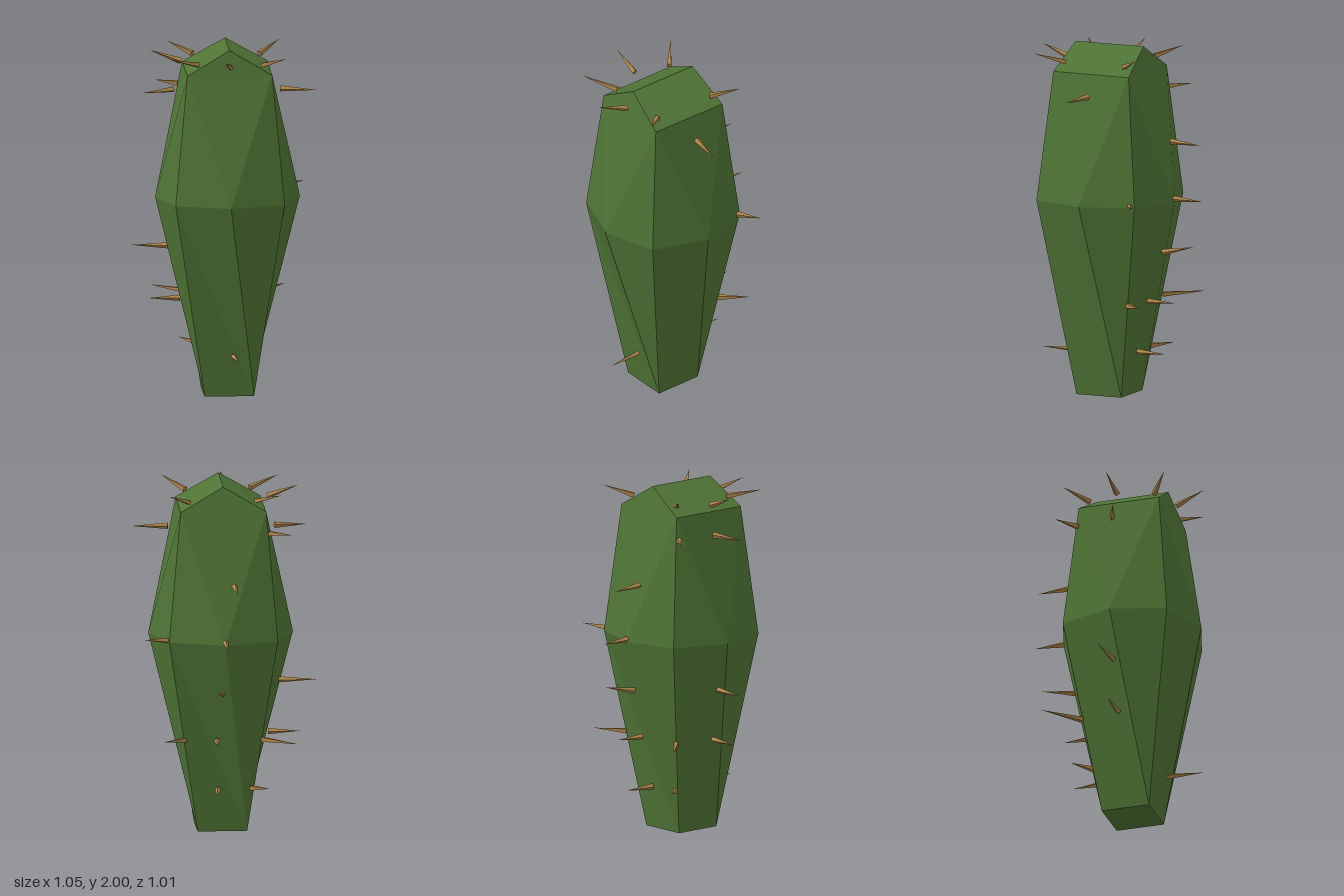
import * as THREE from 'three';

const green = new THREE.MeshStandardMaterial({ color: 0x4f7435, flatShading: true });
green.name = 'cactus green';
const tan = new THREE.MeshStandardMaterial({ color: 0xad8549, flatShading: true });
tan.name = 'thorn tan';

// Faceted body: square foot, eight-sided waist, four shoulders and a ridge
function makeBody() {
  const at = (y, ring) => ring.map(([x, z]) => [x, y, z]);
  const base = at(0, [[0.16, 0.21], [0.16, -0.07], [-0.12, -0.07], [-0.12, 0.21]]);
  const mid = at(1.125, [[0.01, 0.48], [0.32, 0.385], [0.43, 0.07], [0.335, -0.235],
    [0.025, -0.34], [-0.28, -0.25], [-0.39, 0.06], [-0.297, 0.372]]);
  const top = at(1.86, [[0.255, 0.31], [0.265, -0.165], [-0.22, -0.175], [-0.225, 0.302]]);
  const [ridgeFront, ridgeBack] = at(2, [[0.015, 0.283], [0.022, -0.143]]);
  const tris = [];
  const tri = (...corners) => tris.push(...corners.flat());

  for (let k = 0; k < 4; k++) {
    const n = (k + 1) % 4;
    const before = mid[2 * k], corner = mid[2 * k + 1], after = mid[(2 * k + 2) % 8];
    // lower taper
    tri(base[k], corner, before);
    tri(base[k], base[n], corner);
    tri(corner, base[n], after);
    // upper taper
    tri(before, corner, top[k]);
    tri(corner, after, top[k]);
    tri(after, top[n], top[k]);
  }
  // gabled crown
  tri(top[3], top[0], ridgeFront);
  tri(top[1], top[2], ridgeBack);
  tri(top[0], top[1], ridgeBack);
  tri(top[0], ridgeBack, ridgeFront);
  tri(top[2], top[3], ridgeFront);
  tri(top[2], ridgeFront, ridgeBack);
  // underside
  tri(base[0], base[2], base[1]);
  tri(base[0], base[3], base[2]);

  const geo = new THREE.BufferGeometry();
  geo.setAttribute('position', new THREE.Float32BufferAttribute(tris, 3));
  geo.computeVertexNormals();
  const mesh = new THREE.Mesh(geo, green);
  mesh.name = 'body';
  return mesh;
}

// Thin thorn running from its root to its tip
function makeThorn(root, tip) {
  const a = new THREE.Vector3(...root), b = new THREE.Vector3(...tip);
  const dir = b.clone().sub(a);
  const length = dir.length();
  const geo = new THREE.ConeGeometry(0.018, length, 4);
  geo.translate(0, length / 2, 0);
  const mesh = new THREE.Mesh(geo, tan);
  mesh.position.copy(a);
  mesh.quaternion.setFromUnitVectors(new THREE.Vector3(0, 1, 0), dir.normalize());
  mesh.name = 'thorn';
  return mesh;
}

export function createModel() {
  const model = new THREE.Group();
  model.name = 'cactus';
  model.add(makeBody());

  const thorns = new THREE.Group();
  thorns.name = 'thorns';
  // crown thorns
  const crown = [
    [[0.02, 1.91, 0.33], [-0.022, 1.965, 0.505]],
    [[0.205, 1.91, 0.26], [0.328, 1.968, 0.4]],
    [[0.215, 1.91, -0.115], [0.337, 1.97, -0.24]],
    [[-0.165, 1.915, -0.125], [-0.3, 1.967, -0.245]],
    [[-0.245, 1.905, 0.06], [-0.42, 1.968, 0.05]],
    [[-0.16, 1.915, 0.255], [-0.33, 1.965, 0.367]],
  ];
  // side thorns
  const sides = [
    [[0.32, 1.74, 0.065], [0.525, 1.735, 0.102]],
    [[-0.285, 1.74, 0.045], [-0.47, 1.73, 0.107]],
    [[-0.24, 1.735, -0.175], [-0.365, 1.74, -0.27]],
    [[0.345, 1.135, -0.21], [0.478, 1.15, -0.273]],
    [[-0.31, 0.845, 0.06], [-0.525, 0.847, 0.035]],
    [[-0.25, 0.545, 0.07], [-0.43, 0.545, 0.065]],
    [[0.24, 0.545, -0.15], [0.37, 0.56, -0.28]],
    [[-0.2, 0.545, -0.16], [-0.388, 0.55, -0.345]],
    [[-0.14, 0.255, -0.11], [-0.235, 0.27, -0.22]],
    [[0.04, 0.237, 0.265], [0.055, 0.24, 0.475]],
  ];
  // row down the back
  const back = [
    [[-0.03, 1.457, -0.29], [-0.036, 1.445, -0.475]],
    [[0.025, 1.14, -0.335], [0.022, 1.135, -0.51]],
    [[0.035, 0.83, -0.27], [0.052, 0.877, -0.475]],
    [[0.06, 0.547, -0.19], [0.075, 0.55, -0.36]],
    [[0.05, 0.25, -0.12], [0.065, 0.25, -0.3]],
  ];
  for (const [root, tip] of [...crown, ...sides, ...back]) thorns.add(makeThorn(root, tip));
  model.add(thorns);
  return model;
}
